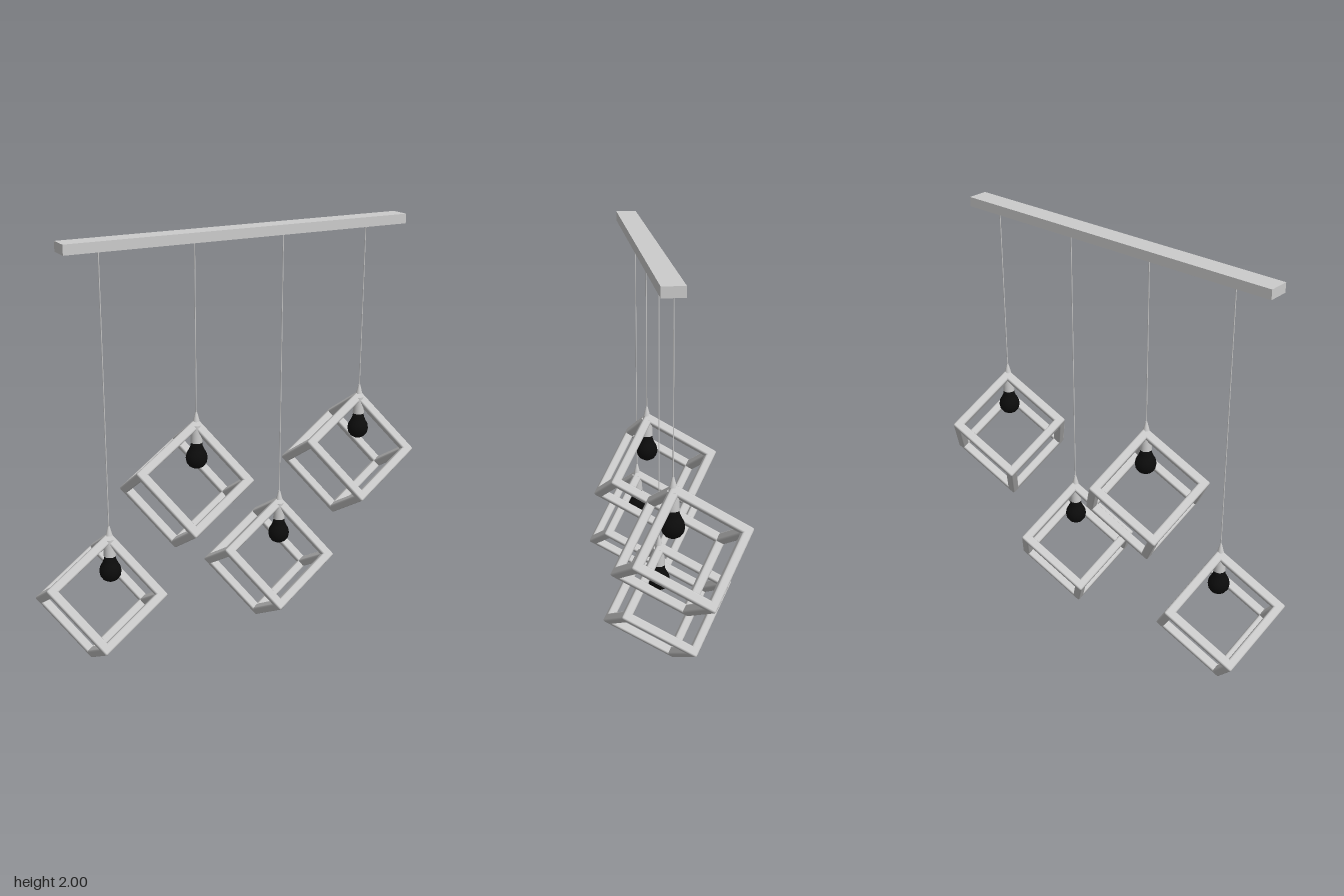
import * as THREE from 'three';
import { RoundedBoxGeometry } from 'three/addons/geometries/RoundedBoxGeometry.js';

const grey = new THREE.MeshStandardMaterial({ color: 0xcccccc });
const black = new THREE.MeshStandardMaterial({ color: 0x0c0c0c });

const CUBE = 0.394;    // outer edge of a cage
const BAR = 0.041;     // thickness of a cage bar
const CORD_Z = 0.04;
const RAIL_BOTTOM = 1.955;

function add(parent, name, geometry, material, x = 0, y = 0, z = 0) {
  const mesh = new THREE.Mesh(geometry, material);
  mesh.name = name;
  mesh.position.set(x, y, z);
  parent.add(mesh);
  return mesh;
}

// Open cube of twelve bars, tipped so that one corner points up
function createCage() {
  const cage = new THREE.Group();
  cage.name = 'cage';
  const off = (CUBE - BAR) / 2;
  for (let axis = 0; axis < 3; axis++) {
    const size = [BAR, BAR, BAR];
    size[axis] = CUBE;
    const geometry = new RoundedBoxGeometry(...size, 1, 0.008);
    for (const s of [-1, 1]) for (const t of [-1, 1]) {
      const p = [0, 0, 0];
      p[(axis + 1) % 3] = s * off;
      p[(axis + 2) % 3] = t * off;
      add(cage, 'cageBar', geometry, grey, ...p);
    }
  }
  // Directions of the three edges leaving the top corner
  const front = new THREE.Vector3(0.499, -0.709, 0.499).normalize();
  const side = new THREE.Vector3(-0.853, -0.499, 0.157).normalize();
  const back = new THREE.Vector3().crossVectors(front, side);
  cage.quaternion.setFromRotationMatrix(new THREE.Matrix4().makeBasis(front, side, back));
  cage.position.set(-0.0385, 0.331, -0.04);
  return cage;
}

// One pendant: origin below the cord, at the level of the cage's lowest corner
function createPendant(x, y) {
  const pendant = new THREE.Group();
  pendant.name = 'pendant';
  pendant.position.set(x, y, CORD_Z);
  pendant.add(createCage());

  const cordTop = RAIL_BOTTOM - y + 0.005, cordBottom = 0.61;
  add(pendant, 'cord', new THREE.CylinderGeometry(0.0025, 0.0025, cordTop - cordBottom, 10),
    grey, 0, (cordTop + cordBottom) / 2);
  add(pendant, 'cordCap', new THREE.CylinderGeometry(0.004, 0.016, 0.045, 20), grey, 0, 0.672);
  add(pendant, 'socket', new THREE.CylinderGeometry(0.025, 0.028, 0.085, 24), grey, 0, 0.59);

  // Bulb: round globe running up into a narrow neck
  const profile = [[0, 0.42], [0.018, 0.423], [0.035, 0.433], [0.047, 0.45], [0.051, 0.472],
    [0.047, 0.493], [0.037, 0.511], [0.029, 0.528], [0.025, 0.552], [0, 0.552]];
  add(pendant, 'bulb', new THREE.LatheGeometry(profile.map(p => new THREE.Vector2(...p)), 28), black);
  return pendant;
}

export function createModel() {
  const model = new THREE.Group();
  model.name = 'pendantLamp';
  // Ceiling rail
  add(model, 'ceilingRail', new THREE.BoxGeometry(1.704, 2 - RAIL_BOTTOM, 0.098), grey,
    0.032, (2 + RAIL_BOTTOM) / 2, 0.066);
  // Four pendants, low and high in turn
  for (let i = 0; i < 4; i++) {
    model.add(createPendant(-0.637 + i * 0.449, i % 2 ? 0.475 : 0));
  }
  return model;
}
